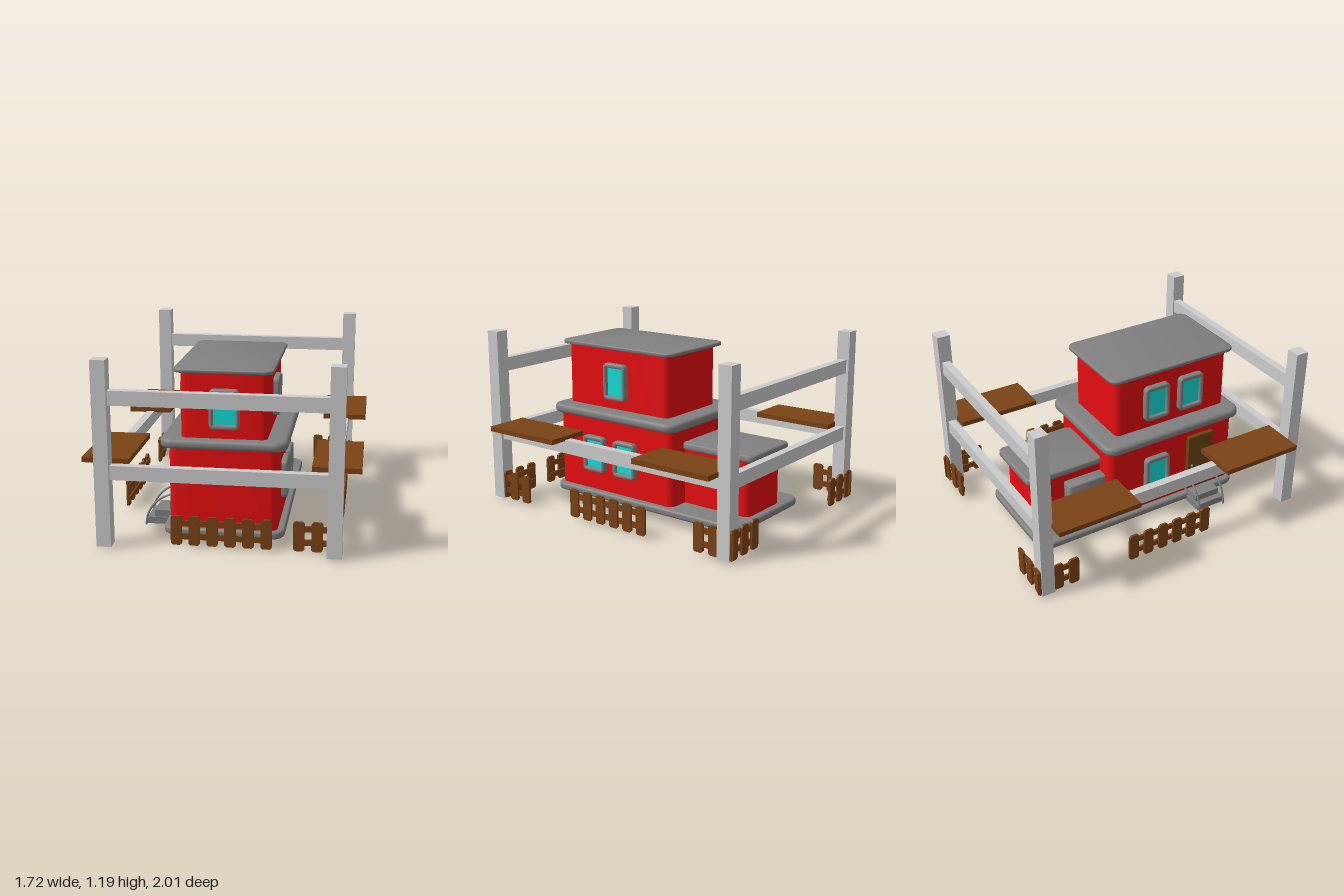
import * as THREE from 'three';
import { toCreasedNormals } from 'three/addons/utils/BufferGeometryUtils.js';

const mat = (color) => new THREE.MeshStandardMaterial({ color });
const LIGHT = mat(0xcccccc), GREY = mat(0x808080), RED = mat(0xe50d10);
const BROWN = mat(0x7a4214), DOOR = mat(0x6b4312), GLASS = mat(0x14dcd6);

function add(parent, name, geometry, material) {
  const mesh = new THREE.Mesh(geometry, material);
  mesh.name = name;
  parent.add(mesh);
  return mesh;
}

// Box given by its limits on each axis
function box(parent, name, material, [x0, x1], [y0, y1], [z0, z1]) {
  const mesh = add(parent, name, new THREE.BoxGeometry(x1 - x0, y1 - y0, z1 - z0), material);
  mesh.position.set((x0 + x1) / 2, (y0 + y1) / 2, (z0 + z1) / 2);
  return mesh;
}

function roundRect(target, w, h, r) {
  const a = w / 2, b = h / 2;
  target.moveTo(-a + r, -b);
  target.lineTo(a - r, -b);
  target.absarc(a - r, -b + r, r, -Math.PI / 2, 0);
  target.lineTo(a, b - r);
  target.absarc(a - r, b - r, r, 0, Math.PI / 2);
  target.lineTo(-a + r, b);
  target.absarc(-a + r, b - r, r, Math.PI / 2, Math.PI);
  target.lineTo(-a, -b + r);
  target.absarc(-a + r, -b + r, r, Math.PI, Math.PI * 1.5);
  return target;
}

// Upright block with rounded corners in plan and softened top and bottom edges
function slab(parent, name, material, [x0, x1], [y0, y1], [z0, z1], r, bevel) {
  const shape = roundRect(new THREE.Shape(), x1 - x0 - 2 * bevel, z1 - z0 - 2 * bevel, Math.max(r - bevel, 0.005));
  const geometry = new THREE.ExtrudeGeometry(shape, {
    depth: y1 - y0 - 2 * bevel, curveSegments: 8,
    bevelEnabled: bevel > 0, bevelThickness: bevel, bevelSize: bevel, bevelSegments: 4,
  });
  geometry.translate(0, 0, bevel).rotateX(-Math.PI / 2);
  const mesh = add(parent, name, toCreasedNormals(geometry, 0.6), material);
  mesh.position.set((x0 + x1) / 2, y0, (z0 + z1) / 2);
  return mesh;
}

// Framed window built facing +z, then turned onto its wall
function windowUnit(parent, x, y, z, turn) {
  const unit = new THREE.Group();
  unit.name = 'window';
  const b = 0.01;
  const shape = roundRect(new THREE.Shape(), 0.19 - 2 * b, 0.255 - 2 * b, 0.02);
  shape.holes.push(roundRect(new THREE.Path(), 0.138 + 2 * b, 0.195 + 2 * b, 0.012));
  const frame = new THREE.ExtrudeGeometry(shape, {
    depth: 0.04 - b, curveSegments: 4, bevelThickness: b, bevelSize: b, bevelSegments: 3,
  });
  add(unit, 'windowFrame', toCreasedNormals(frame, 0.6), GREY);
  box(unit, 'windowGlass', GLASS, [-0.075, 0.075], [-0.103, 0.103], [-0.01, 0.016]);
  unit.position.set(x, y, z);
  unit.rotation.y = turn;
  parent.add(unit);
}

// Fence panel facing +z: chamfered pickets on two rails
function fence(parent, count, x, z, turn) {
  const panel = new THREE.Group();
  panel.name = 'fence';
  const pitch = 0.112, w = 0.035, h = 0.095, c = 0.012;
  const shape = new THREE.Shape([
    [-w + c, -h], [w - c, -h], [w, -h + c], [w, h - c], [w - c, h], [-w + c, h], [-w, h - c], [-w, -h + c],
  ].map(([px, py]) => new THREE.Vector2(px, py)));
  const picket = new THREE.ExtrudeGeometry(shape, { depth: 0.016, bevelEnabled: false });
  for (let i = 0; i < count; i++) {
    add(panel, 'picket', picket, BROWN).position.set((i - (count - 1) / 2) * pitch, 0.11, -0.002);
  }
  const half = ((count - 1) * pitch) / 2 + 0.025;
  for (const y of [0.068, 0.155]) {
    box(panel, 'fenceRail', BROWN, [-half, half], [y - 0.018, y + 0.018], [-0.012, 0.004]);
  }
  panel.position.set(x, 0, z);
  panel.rotation.y = turn;
  parent.add(panel);
}

function buildHouse() {
  const house = new THREE.Group();
  house.name = 'house';
  slab(house, 'foundation', GREY, [-0.39, 0.385], [0.02, 0.07], [-0.805, 0.775], 0.09, 0.015);
  box(house, 'floorPanel', RED, [-0.28, 0.28], [0.016, 0.03], [-0.22, 0.55]);
  slab(house, 'lowerWalls', RED, [-0.345, 0.34], [0.06, 0.6], [-0.25, 0.745], 0.05, 0);
  slab(house, 'lowerRoof', GREY, [-0.405, 0.4], [0.59, 0.652], [-0.297, 0.777], 0.085, 0.025);
  slab(house, 'upperWalls', RED, [-0.275, 0.27], [0.64, 1.08], [-0.16, 0.71], 0.04, 0);
  slab(house, 'upperRoof', GREY, [-0.315, 0.31], [1.07, 1.096], [-0.21, 0.75], 0.06, 0.008);

  // Rear extension with its own roof and a side cabinet
  slab(house, 'extensionWalls', RED, [-0.2, 0.195], [0.06, 0.46], [-0.755, -0.2], 0.05, 0);
  slab(house, 'extensionRoof', GREY, [-0.235, 0.23], [0.45, 0.497], [-0.803, -0.24], 0.045, 0.015);
  slab(house, 'sideCabinet', GREY, [-0.285, -0.19], [0.06, 0.38], [-0.525, -0.24], 0.02, 0.01);

  // Windows
  const left = Math.PI / 2, right = -Math.PI / 2;
  windowUnit(house, 0.005, 0.845, 0.71, 0);
  windowUnit(house, 0.27, 0.845, 0.273, left);
  windowUnit(house, -0.275, 0.845, 0.14, right);
  windowUnit(house, -0.275, 0.845, 0.41, right);
  for (const z of [0.41, 0.14]) windowUnit(house, 0.34, 0.332, z, left);
  windowUnit(house, -0.345, 0.332, 0.11, right);

  // Door, steps and curved handrails
  box(house, 'door', DOOR, [-0.378, -0.34], [0.1, 0.52], [0.36, 0.56]);
  const knob = add(house, 'doorKnob', new THREE.SphereGeometry(0.01, 12, 8), GREY);
  knob.position.set(-0.384, 0.29, 0.39);
  box(house, 'lowerStep', GREY, [-0.53, -0.34], [0.01, 0.055], [0.35, 0.565]);
  box(house, 'upperStep', GREY, [-0.485, -0.34], [0.05, 0.1], [0.362, 0.553]);
  for (const z of [0.357, 0.56]) {
    const path = new THREE.CubicBezierCurve3(
      new THREE.Vector3(-0.542, 0, z), new THREE.Vector3(-0.54, 0.13, z),
      new THREE.Vector3(-0.44, 0.21, z), new THREE.Vector3(-0.335, 0.224, z));
    add(house, 'handrail', new THREE.TubeGeometry(path, 20, 0.007, 8), GREY);
  }
  return house;
}

function buildFrame() {
  const frame = new THREE.Group();
  frame.name = 'timberFrame';
  for (const x of [-0.71, 0.71]) {
    for (const z of [[-0.987, -0.897], [0.91, 1]]) {
      box(frame, 'post', LIGHT, [x - 0.046, x + 0.046], [0.012, 1.19], z);
    }
    box(frame, 'sideBeam', LIGHT, [x - 0.028, x + 0.028], [0.44, 0.53], [-0.9, 0.915]);
  }
  for (const z of [[-0.97, -0.917], [0.918, 0.972]]) {
    for (const y of [[0.44, 0.53], [0.908, 1]]) box(frame, 'crossBeam', LIGHT, [-0.67, 0.67], y, z);
  }
  // Shelves laid over the side beams
  for (const x of [[-0.86, -0.56], [0.56, 0.86]]) {
    for (const z of [[-0.905, -0.333], [0.328, 0.9]]) box(frame, 'shelf', BROWN, x, [0.523, 0.556], z);
  }
  return frame;
}

function buildFences() {
  const fences = new THREE.Group();
  fences.name = 'fences';
  const q = Math.PI / 2;
  fence(fences, 6, 0.01, 0.9, 0);
  fence(fences, 3, 0.602, 0.9, 0);
  fence(fences, 3, 0.73, 0.82, q);
  for (const side of [-1, 1]) {
    fence(fences, 6, side * 0.73, -0.025, side * q);
    fence(fences, 3, side * 0.73, -0.862, side * q);
    fence(fences, 3, side * 0.602, -0.985, Math.PI);
  }
  return fences;
}

export function createModel() {
  const model = new THREE.Group();
  model.name = 'framedHouse';
  model.add(buildHouse(), buildFrame(), buildFences());
  return model;
}
